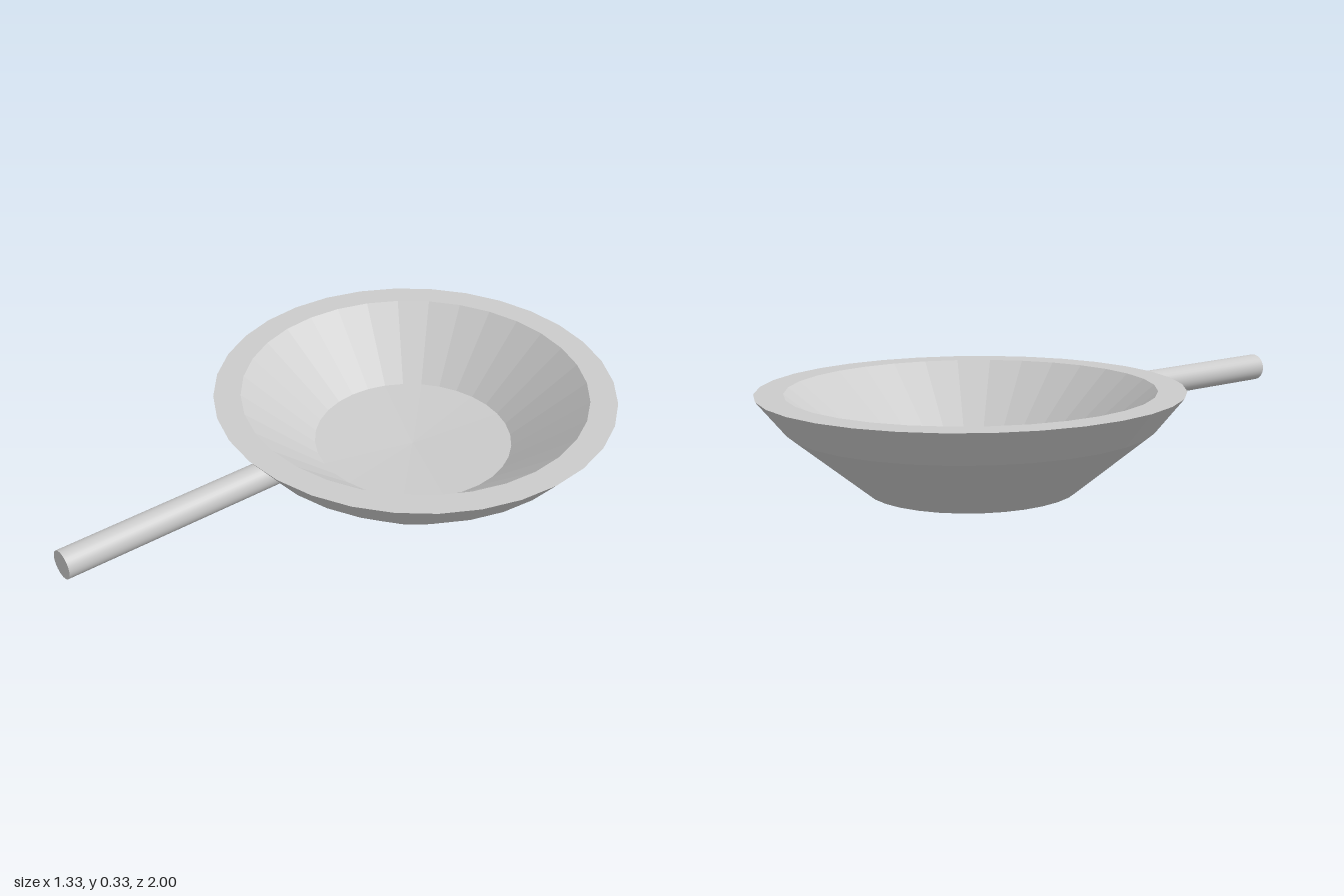
import * as THREE from 'three';

export function createModel() {
  const group = new THREE.Group();
  const flat = new THREE.MeshStandardMaterial({ color: 0xcccccc, flatShading: true });
  const smooth = new THREE.MeshStandardMaterial({ color: 0xcccccc });

  // Faceted bowl: closed profile from the outer base, over the flat rim, to the inner floor
  const profile = [
    [0, 0], [0.333, 0.02], [0.577, 0.22], [0.667, 0.33],
    [0.577, 0.33], [0.333, 0.13], [0, 0.11],
  ].map(([r, y]) => new THREE.Vector2(r, y));
  const bowl = new THREE.Mesh(new THREE.LatheGeometry(profile, 32), flat);
  bowl.name = 'bowl';
  bowl.position.z = -0.333;
  group.add(bowl);

  // Straight round handle, rooted inside the bowl wall
  const start = 0.22, end = 1;
  const handle = new THREE.Mesh(
    new THREE.CylinderGeometry(0.046, 0.046, end - start, 32).rotateX(Math.PI / 2), smooth);
  handle.name = 'handle';
  handle.position.set(0, 0.255, (start + end) / 2);
  group.add(handle);

  return group;
}
